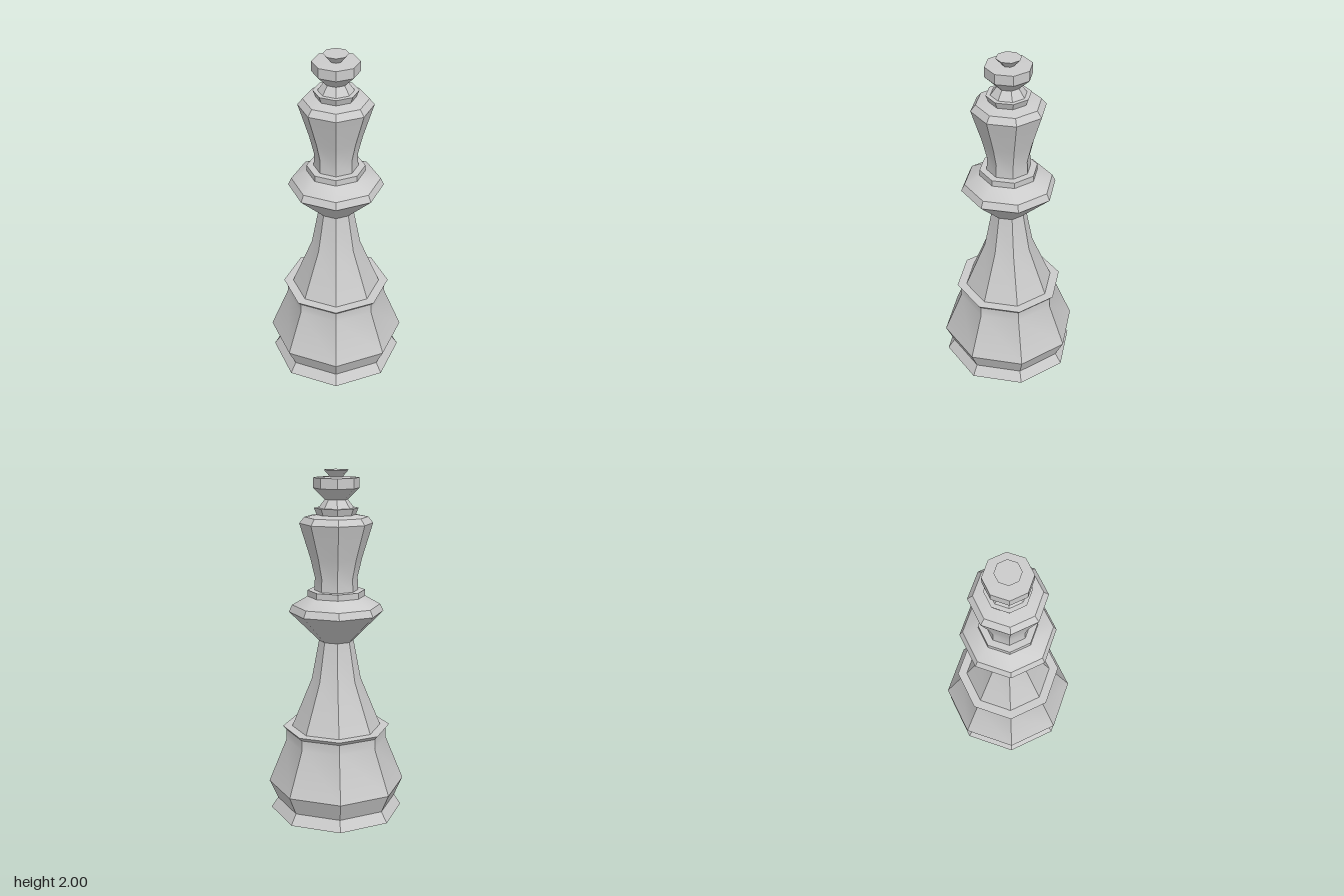
import * as THREE from 'three';
import { toCreasedNormals } from 'three/addons/utils/BufferGeometryUtils.js';

const SIDES = 8;

// Octagonal turned part from a [radius, height] profile, listed bottom to top
function turned(name, profile, material) {
  const points = profile.map(([r, y]) => new THREE.Vector2(r, y));
  const geometry = toCreasedNormals(new THREE.LatheGeometry(points, SIDES), Math.PI / 6);
  const mesh = new THREE.Mesh(geometry, material);
  mesh.name = name;
  return mesh;
}

export function createModel() {
  const group = new THREE.Group();
  group.name = 'chessKing';
  const material = new THREE.MeshStandardMaterial({ color: 0xcccccc });

  const parts = {
    // Wide foot with a flared plinth and a lipped upper rim
    base: [[0, 0], [0.39, 0], [0.35, 0.06], [0.4, 0.17], [0.295, 0.43],
      [0.295, 0.49], [0.315, 0.512], [0.26, 0.512]],
    // Tapering stem
    shaft: [[0.26, 0.512], [0.143, 0.8], [0.1, 1.03]],
    // Flared collar with a stepped ring on top
    collar: [[0.1, 1.03], [0.272, 1.2], [0.253, 1.24], [0.165, 1.29],
      [0.165, 1.325], [0.125, 1.325]],
    // Head widening to a sloped shoulder
    head: [[0.125, 1.325], [0.122, 1.4], [0.148, 1.51], [0.208, 1.705],
      [0.18, 1.74], [0.11, 1.752]],
    // Small crown ring and the cone above it
    crown: [[0.11, 1.752], [0.125, 1.79], [0.08, 1.79], [0.1, 1.79], [0.065, 1.837]],
    // Knob with a flared button on top
    finial: [[0.065, 1.837], [0.13, 1.9], [0.13, 1.957], [0.035, 1.96],
      [0.07, 2], [0, 2]],
  };
  // The crown ring steps straight in to the cone
  parts.crown.splice(2, 1);

  for (const [name, profile] of Object.entries(parts)) {
    group.add(turned(name, profile, material));
  }
  return group;
}
